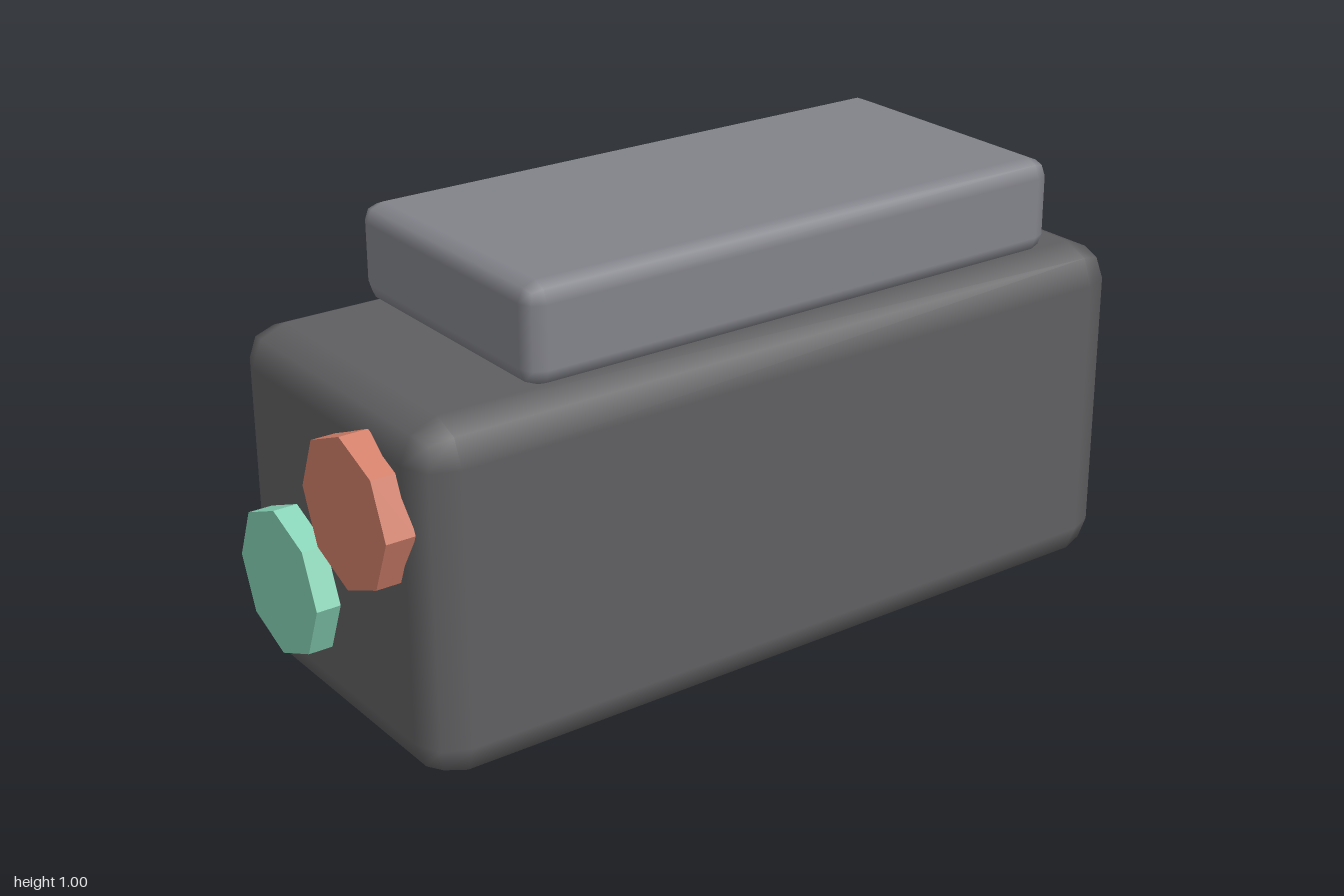
import * as THREE from 'three';
import { RoundedBoxGeometry } from 'three/addons/geometries/RoundedBoxGeometry.js';

const material = (name, color, flatShading = false) => {
  const m = new THREE.MeshStandardMaterial({ color, flatShading });
  m.name = name;
  return m;
};

export function createModel() {
  const group = new THREE.Group();
  const charcoal = material('charcoal', 0x5f5f61);
  const grey = material('slateGrey', 0x82838a);
  const coral = material('coral', 0xd17f69, true);
  const mint = material('mint', 0x87d2b6, true);

  const add = (name, geometry, mat, x, y, z) => {
    const mesh = new THREE.Mesh(geometry, mat);
    mesh.name = name;
    mesh.position.set(x, y, z);
    group.add(mesh);
    return mesh;
  };

  // Box given by its minimum and maximum corners, rounded when a radius is set
  const block = (name, mat, min, max, radius = 0) => {
    const size = max.map((v, i) => v - min[i]);
    const centre = max.map((v, i) => (v + min[i]) / 2);
    const geometry = radius
      ? new RoundedBoxGeometry(...size, 1, radius)
      : new THREE.BoxGeometry(...size);
    return add(name, geometry, mat, ...centre);
  };

  // Bevelled casing and the slab resting on it
  block('body', charcoal, [-0.368, 0, -0.89], [0.409, 0.78, 0.945], 0.086);
  block('topSlab', grey, [-0.312, 0.78, -0.718], [0.353, 1, 0.664], 0.042);

  // Plain blocks on the right side and the back
  block('sidePanel', grey, [-0.41, 0.196, -0.445], [-0.36, 0.586, 0.387]);
  block('rearBlock', charcoal, [-0.175, 0.226, -1], [0.212, 0.56, -0.88]);

  // Eight-sided buttons on the front
  const button = (name, mat, x, y) => {
    const geometry = new THREE.CylinderGeometry(0.166, 0.166, 0.065, 8);
    geometry.rotateX(Math.PI / 2);
    add(name, geometry, mat, x, y, 0.9675);
  };
  button('upperButton', coral, 0.187, 0.557);
  button('lowerButton', mint, -0.12, 0.28);

  return group;
}
